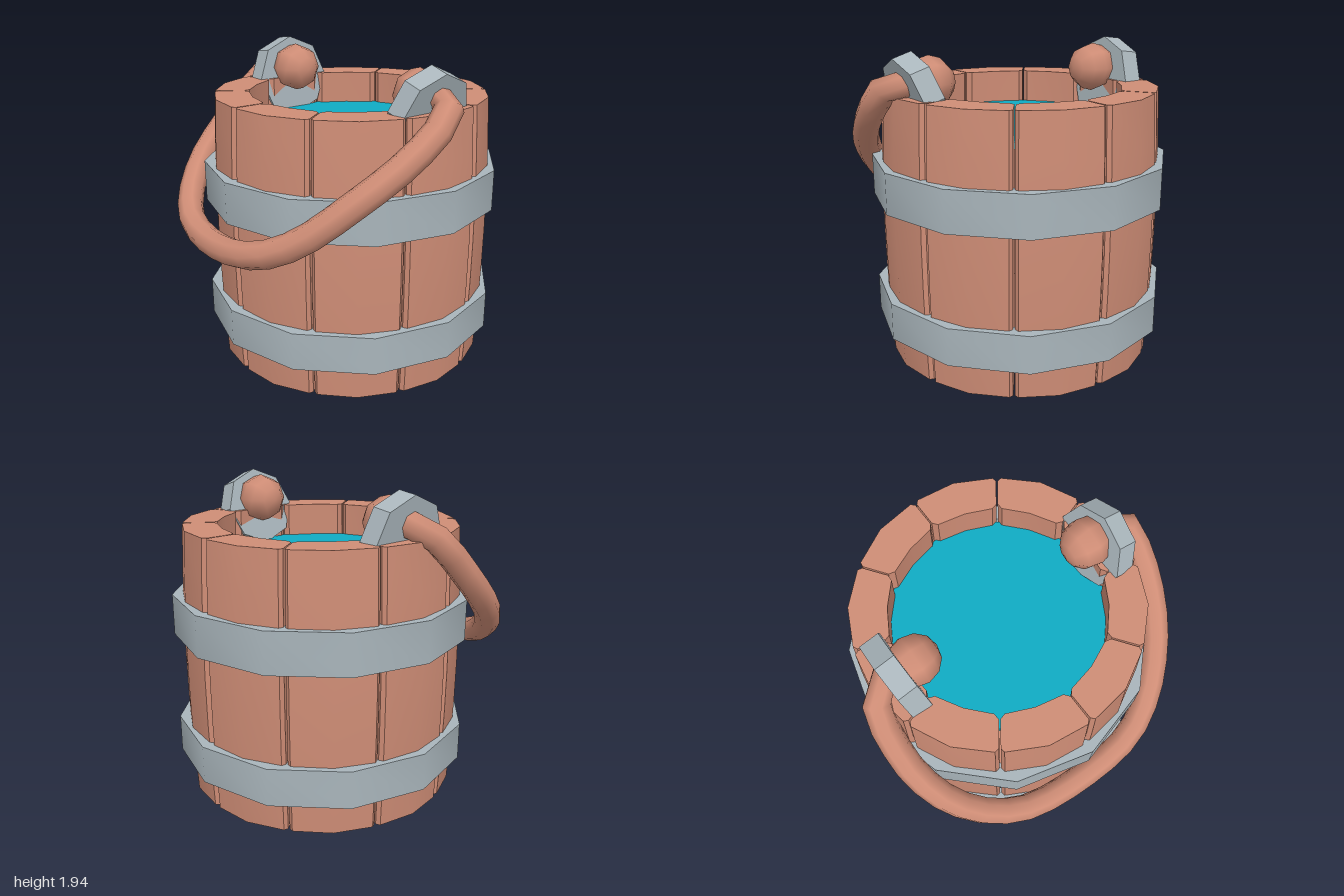
import * as THREE from 'three';
import { toCreasedNormals } from 'three/addons/utils/BufferGeometryUtils.js';

const HEIGHT = 1.68;
const CENTER_Z = -0.06;
const STAVES = 10;

function material(name, color) {
  const m = new THREE.MeshStandardMaterial({ color });
  m.name = name;
  return m;
}

function add(parent, name, geometry, mat, x = 0, y = 0, z = 0) {
  const mesh = new THREE.Mesh(geometry, mat);
  mesh.name = name;
  mesh.position.set(x, y, z);
  parent.add(mesh);
  return mesh;
}

// One stave: chamfered wedge section, extruded upward and bulged at mid height
function staveGeometry() {
  const half = Math.PI / STAVES;
  const profile = [
    [0.635, -half + 0.045], [0.665, -half + 0.006], [0.825, -half + 0.006], [0.846, -half + 0.03],
    [0.855, 0],
    [0.846, half - 0.03], [0.825, half - 0.006], [0.665, half - 0.006], [0.635, half - 0.045],
    [0.63, 0],
  ];
  const shape = new THREE.Shape(profile.map(([r, a]) => new THREE.Vector2(r * Math.cos(a), r * Math.sin(a))));
  const g = new THREE.ExtrudeGeometry(shape, { depth: HEIGHT, steps: 6, bevelEnabled: false });
  g.rotateX(-Math.PI / 2);
  const p = g.attributes.position;
  for (let i = 0; i < p.count; i++) {
    const t = (p.getY(i) / HEIGHT) * 2 - 1;
    const s = 1 + 0.03 * (1 - t * t);
    p.setXYZ(i, p.getX(i) * s, p.getY(i), p.getZ(i) * s);
  }
  return toCreasedNormals(g, Math.PI / 6);
}

// Twelve-sided iron hoop
function hoopGeometry(y0, y1) {
  const ring = (r, y) => new THREE.Vector2(r, y);
  const g = new THREE.LatheGeometry(
    [ring(0.83, y0), ring(0.93, y0), ring(0.93, y1), ring(0.83, y1), ring(0.83, y0)], 12);
  return toCreasedNormals(g.toNonIndexed(), Math.PI / 5);
}

export function createModel() {
  const wood = material('wood', 0xcf8d76);
  const iron = material('iron', 0xa9b5bb);
  const waterBlue = material('water', 0x10abc4);
  const model = new THREE.Group();
  model.name = 'bucket';

  // Barrel body
  const barrel = new THREE.Group();
  barrel.name = 'barrel';
  barrel.position.z = CENTER_Z;
  model.add(barrel);
  const stave = staveGeometry();
  for (let i = 0; i < STAVES; i++) {
    add(barrel, 'stave', stave, wood).rotation.y = (i * 2 * Math.PI) / STAVES;
  }
  add(barrel, 'bottom', new THREE.CylinderGeometry(0.66, 0.66, 0.06, 20), wood, 0, 0.11, 0);
  add(barrel, 'water', new THREE.CylinderGeometry(0.665, 0.665, 0.04, 20), waterBlue, 0, 1.45, 0);
  add(barrel, 'lowerHoop', hoopGeometry(0.2, 0.435), iron);
  add(barrel, 'upperHoop', hoopGeometry(1.0, 1.255), iron);

  // Drooping handle, hanging forward
  const path = new THREE.CatmullRomCurve3([
    [-0.62, 1.75, -0.06], [-0.8, 1.75, -0.05], [-0.88, 1.68, 0.03], [-0.915, 1.5, 0.2],
    [-0.915, 1.36, 0.34], [-0.86, 1.19, 0.53], [-0.72, 1.02, 0.71], [-0.48, 0.89, 0.85],
    [-0.08, 0.85, 0.905], [0.32, 0.91, 0.88], [0.56, 1.03, 0.76], [0.77, 1.26, 0.53],
    [0.885, 1.46, 0.28], [0.915, 1.64, 0.06], [0.88, 1.74, -0.03], [0.79, 1.75, -0.06], [0.62, 1.75, -0.06],
  ].map((p) => new THREE.Vector3(...p)));
  add(model, 'handle', new THREE.TubeGeometry(path, 28, 0.083, 8, false), wood);

  // Knobs on the handle ends and the iron clips that hold them to the rim
  const sides = [
    { name: 'right', knobX: -0.58, clipX: -0.695, clipZ: -0.065, radius: 0.262, tilt: 0.13 },
    { name: 'left', knobX: 0.625, clipX: 0.71, clipZ: -0.04, radius: 0.25, tilt: -0.3 },
  ];
  for (const s of sides) {
    const knob = new THREE.SphereGeometry(0.155, 8, 6);
    knob.rotateZ(Math.PI / 2);
    add(model, s.name + 'Knob', knob, wood, s.knobX, 1.75, -0.05);

    const clip = new THREE.CylinderGeometry(s.radius, s.radius, 0.125, 8, 1, false, 0, Math.PI * 2);
    clip.rotateZ(Math.PI / 2);
    add(model, s.name + 'Clip', toCreasedNormals(clip.toNonIndexed(), Math.PI / 6), iron, s.clipX, 1.675, s.clipZ)
      .rotation.z = s.tilt;
  }
  return model;
}
